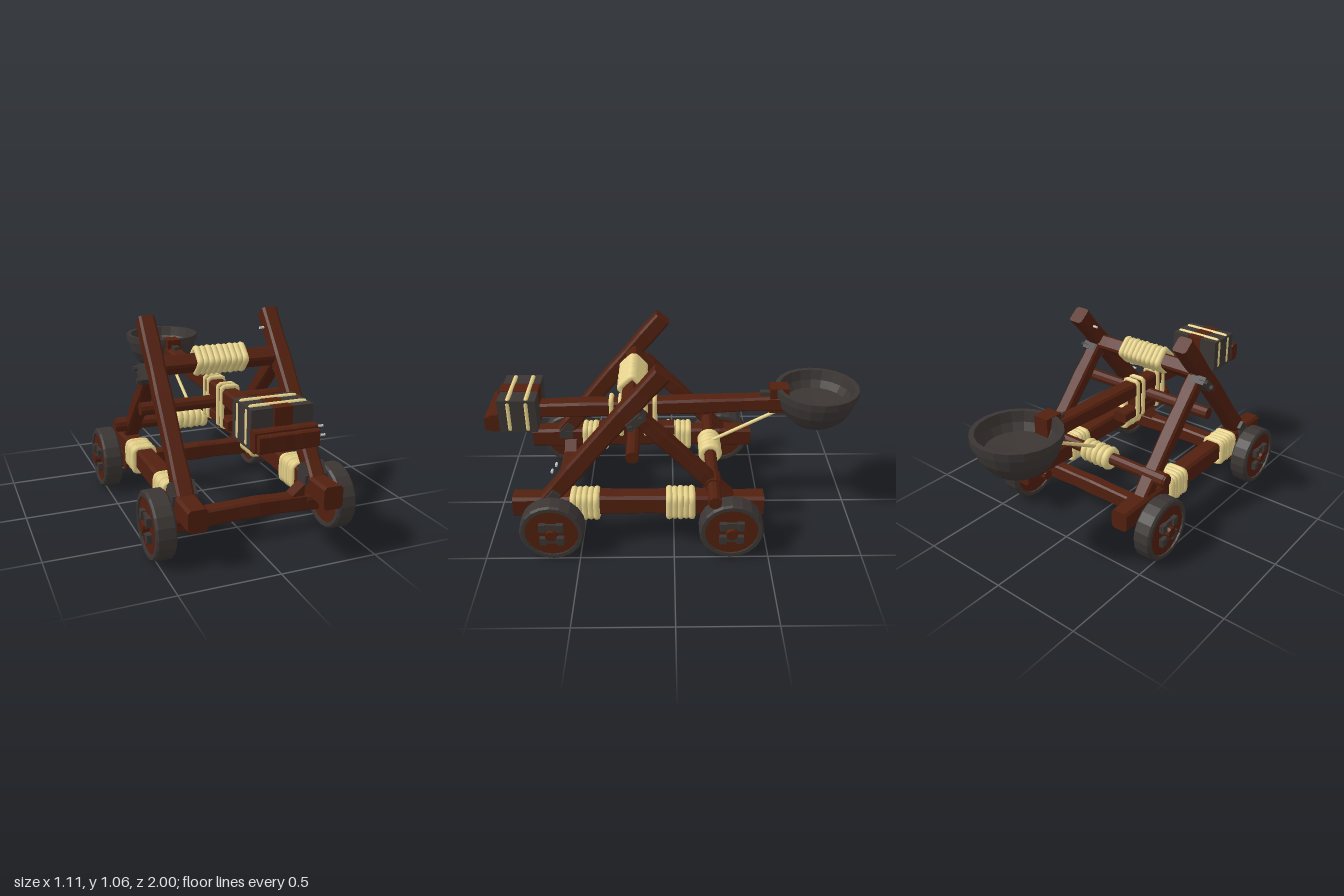
import * as THREE from 'three';

const paint = (color, extra = {}) => new THREE.MeshStandardMaterial({ color, ...extra });
const V = (x, y, z) => new THREE.Vector3(x, y, z);

export function createModel() {
  const model = new THREE.Group();
  const wood = paint(0x52200f, { flatShading: true });
  const iron = paint(0x3b3634, { flatShading: true });
  const rope = paint(0xe6d28a);
  const nailGrey = paint(0xcccccc);

  function add(name, geometry, material, position = [0, 0, 0], parent = model) {
    const mesh = new THREE.Mesh(geometry, material);
    mesh.name = name;
    mesh.position.set(...position);
    parent.add(mesh);
    return mesh;
  }

  const box = (name, size, position, material = wood, parent = model) =>
    add(name, new THREE.BoxGeometry(...size), material, position, parent);

  // Hewn timber from a to b: chamfered section with a slight bow and uneven thickness
  function beam(name, a, b, w, h, bow = 0, rough = 0.05, roll = 0) {
    const c = Math.min(w, h) * 0.14, x = w / 2, y = h / 2;
    const shape = new THREE.Shape([
      [-x + c, -y], [x - c, -y], [x, -y + c], [x, y - c],
      [x - c, y], [-x + c, y], [-x, y - c], [-x, -y + c],
    ].map(([u, v]) => new THREE.Vector2(u, v)));
    const length = a.distanceTo(b);
    const geometry = new THREE.ExtrudeGeometry(shape, { depth: length, steps: 7, bevelEnabled: false });
    const p = geometry.attributes.position;
    for (let i = 0; i < p.count; i++) {
      const t = p.getZ(i) / length;
      const k = 1 + rough * Math.sin(t * 17 + a.x * 5 + a.y * 3);
      p.setXY(i, p.getX(i) * k, p.getY(i) * k + bow * Math.sin(Math.PI * t));
    }
    geometry.computeVertexNormals();
    const mesh = add(name, geometry, wood, a.toArray());
    mesh.lookAt(b);
    mesh.rotateZ(roll);
    return mesh;
  }

  // Rope loops round a w x h section; the loops stack along local z
  function wrap(name, center, w, h, count, pitch, r, square = 0.35) {
    const group = new THREE.Group();
    group.name = name;
    const points = [];
    for (let i = 0; i < 24; i++) {
      const t = (i + 0.5) / 24 * Math.PI * 2, c = Math.cos(t), s = Math.sin(t);
      points.push(V(Math.sign(c) * Math.abs(c) ** square * (w / 2 - r),
        Math.sign(s) * Math.abs(s) ** square * (h / 2 - r), 0));
    }
    const curve = new THREE.CatmullRomCurve3(points, true, 'catmullrom', 0.2);
    const coil = new THREE.TubeGeometry(curve, 48, r, 8, true);
    for (let i = 0; i < count; i++) {
      const mesh = add('ropeCoil', coil, rope, [0, 0, (i - (count - 1) / 2) * pitch], group);
      mesh.scale.setScalar(i % 2 ? 0.97 : 1);
    }
    group.position.set(...center);
    model.add(group);
    return group;
  }

  // Wheel: iron rim, recessed wooden disc, hub and two straps on the outside
  function wheel(x, z, side) {
    const group = new THREE.Group();
    group.name = 'wheel';
    const rim = [[0.14, -0.05], [0.16, -0.05], [0.17, -0.04], [0.17, 0.04], [0.16, 0.05], [0.14, 0.05], [0.14, -0.05]];
    add('rim', new THREE.LatheGeometry(rim.map(([r, y]) => new THREE.Vector2(r, y)), 20), iron, [0, 0, 0], group);
    add('wheelDisc', new THREE.CylinderGeometry(0.142, 0.142, 0.08, 20), wood, [0, 0, 0], group);
    add('axle', new THREE.CylinderGeometry(0.03, 0.03, 0.22, 10), wood, [0, -0.035, 0], group);
    for (const s of [-1, 1]) {
      box('wheelStrap', [0.035, 0.014, 0.13], [s * 0.042, 0.047, 0], iron, group);
      for (const e of [-1, 1]) box('strapBolt', [0.045, 0.026, 0.035], [s * 0.042, 0.052, e * 0.045], iron, group);
    }
    group.rotation.z = -side * Math.PI / 2;
    group.position.set(x, 0.17, z);
    model.add(group);
  }

  // Both sides: wheels, rail, rail lashings, A-frame legs and iron plates
  for (const side of [-1, 1]) {
    const x = side * 0.348;
    for (const z of [0.64, -0.3]) wheel(side * 0.47 - 0.01, z, side);
    beam('sideRail', V(x, 0.25, -0.475), V(x, 0.255, 0.85), 0.1, 0.115, 0.008, 0.07);
    for (const z of [0.47, -0.035]) wrap('railLashing', [x + 0.003 * side, 0.253, z], 0.145, 0.165, 5, 0.03, 0.018);
    beam('longLeg', V(x, 0.24, 0.7), V(side * 0.348 + 0.013, 1.03, 0.055), 0.085, 0.092, 0.006);
    beam('shortLeg', V(x, 0.29, -0.285), V(x + 0.008, 0.81, 0.205), 0.08, 0.075, 0.004);
    const joint = box('jointPlate', [0.085, 0.045, 0.1], [side * 0.375, 0.78, 0.19], iron);
    joint.rotation.x = 0.75;
    for (const d of [-1, 1]) {
      const bolt = add('jointBolt', new THREE.CylinderGeometry(0.014, 0.014, 0.05, 8), iron,
        [side * 0.41, 0.78 - d * 0.025, 0.19 + d * 0.027]);
      bolt.rotation.z = Math.PI / 2;
    }
    const foot = box('footPlate', [0.125, 0.05, 0.07], [x, 0.325, 0.635], iron);
    foot.rotation.x = 0.88;
    for (const d of [-1, 1]) box('footBracket', [0.02, 0.05, 0.08], [x + d * 0.055, 0.29, 0.645], iron);
    // Corner wedge between rail and front cross beam
    const wedge = new THREE.Shape([V(0, 0, 0), V(0.075, 0, 0), V(0, 0.06, 0)].map(p => new THREE.Vector2(side * -p.x, p.y)));
    add('cornerWedge', new THREE.ExtrudeGeometry(wedge, { depth: 0.07, bevelEnabled: false }), wood, [side * 0.3, 0.195, 0.585]);
  }

  // Lower cross beams
  beam('frontCrossBeam', V(-0.4, 0.15, 0.62), V(0.385, 0.15, 0.62), 0.08, 0.09, 0.012);
  beam('rearCrossBeam', V(-0.4, 0.16, -0.21), V(0.385, 0.16, -0.21), 0.07, 0.09, 0.006);

  // Top cross bar, turned to lie along the legs, with its lashing
  beam('topCrossBar', V(-0.37, 0.82, 0.215), V(0.37, 0.82, 0.215), 0.082, 0.082, 0, 0.02, Math.PI / 4);
  const topWrap = wrap('topLashing', [0.01, 0.83, 0.215], 0.135, 0.135, 9, 0.031, 0.0185, 0.3);
  topWrap.rotation.set(0.75, Math.PI / 2, 0, 'XYZ');

  // Pivot and winch bars
  function roundBar(name, x0, x1, y, z, r) {
    const bar = add(name, new THREE.CylinderGeometry(r, r, x1 - x0, 10), wood, [(x0 + x1) / 2, y, z]);
    bar.rotation.z = Math.PI / 2;
  }
  roundBar('pivotBar', -0.42, 0.455, 0.602, 0.21, 0.034);
  roundBar('winchBar', -0.45, 0.55, 0.388, -0.205, 0.034);
  roundBar('winchCollar', -0.44, -0.3, 0.388, -0.205, 0.04);
  roundBar('winchCollar', 0.3, 0.4, 0.388, -0.205, 0.044);
  const winchRope = wrap('winchRope', [0.003, 0.386, -0.205], 0.132, 0.132, 5, 0.037, 0.021, 1);
  winchRope.rotation.y = Math.PI / 2;

  // Throwing arm with the plank lashed beneath it
  const armX = 0.021;
  beam('throwingArm', V(armX, 0.685, -0.6), V(armX, 0.645, 0.95), 0.088, 0.085, -0.004, 0.06);
  box('armTip', [0.085, 0.145, 0.1], [armX, 0.705, -0.57]);
  box('armTipPlate', [0.035, 0.02, 0.06], [armX, 0.735, -0.5], iron);
  beam('pivotPlank', V(armX, 0.523, -0.005), V(armX, 0.523, 0.41), 0.08, 0.055, 0, 0.03);
  box('pivotBlock', [0.07, 0.08, 0.2], [armX, 0.585, 0.21]);
  for (const z of [0.1, 0.15, 0.285, 0.335])
    wrap('plankLashing', [armX, 0.604, z], 0.11, 0.24, 1, 0.03, 0.013, 0.15);

  // Counterweight: two iron blocks either side of the arm, bound with rope
  for (const side of [-1, 1]) box('counterweightBlock', [0.107, 0.185, 0.2], [armX + side * 0.098, 0.68, 0.82], iron);
  box('counterweightCore', [0.09, 0.19, 0.21], [armX, 0.68, 0.825]);
  for (const z of [0.77, 0.865]) wrap('weightBand', [armX, 0.68, z], 0.315, 0.206, 1, 0.03, 0.013, 0.1);
  beam('weightStop', V(-0.135, 0.64, 0.945), V(0.172, 0.64, 0.945), 0.05, 0.1, 0, 0.02);
  beam('weightStopFront', V(-0.125, 0.635, 0.975), V(0.168, 0.635, 0.975), 0.045, 0.08, 0, 0.03);

  // Bowl
  const bowl = [[0, 0.54], [0.06, 0.545], [0.12, 0.572], [0.168, 0.615], [0.2, 0.67], [0.214, 0.73],
    [0.225, 0.735], [0.225, 0.775], [0.2, 0.775], [0.188, 0.72], [0.165, 0.68], [0, 0.665]];
  add('bowl', new THREE.LatheGeometry(bowl.map(([r, y]) => new THREE.Vector2(r, y)), 20),
    paint(0x3b3634, { flatShading: true, side: THREE.DoubleSide }), [0.024, 0, -0.775]);

  // Pull rope from winch to arm
  add('pullRope', new THREE.TubeGeometry(new THREE.LineCurve3(V(0.015, 0.425, -0.2), V(0.018, 0.625, -0.575)), 1, 0.01, 8), rope);

  // Loose nails
  for (const [x, y, z] of [[0.298, 0.955, 0.12], [0.407, 0.535, 0.597], [0.407, 0.495, 0.622]]) {
    const nail = add('nail', new THREE.CylinderGeometry(0.007, 0.007, 0.026, 8), nailGrey, [x, y, z]);
    nail.rotation.z = Math.PI / 2;
  }

  return model;
}
